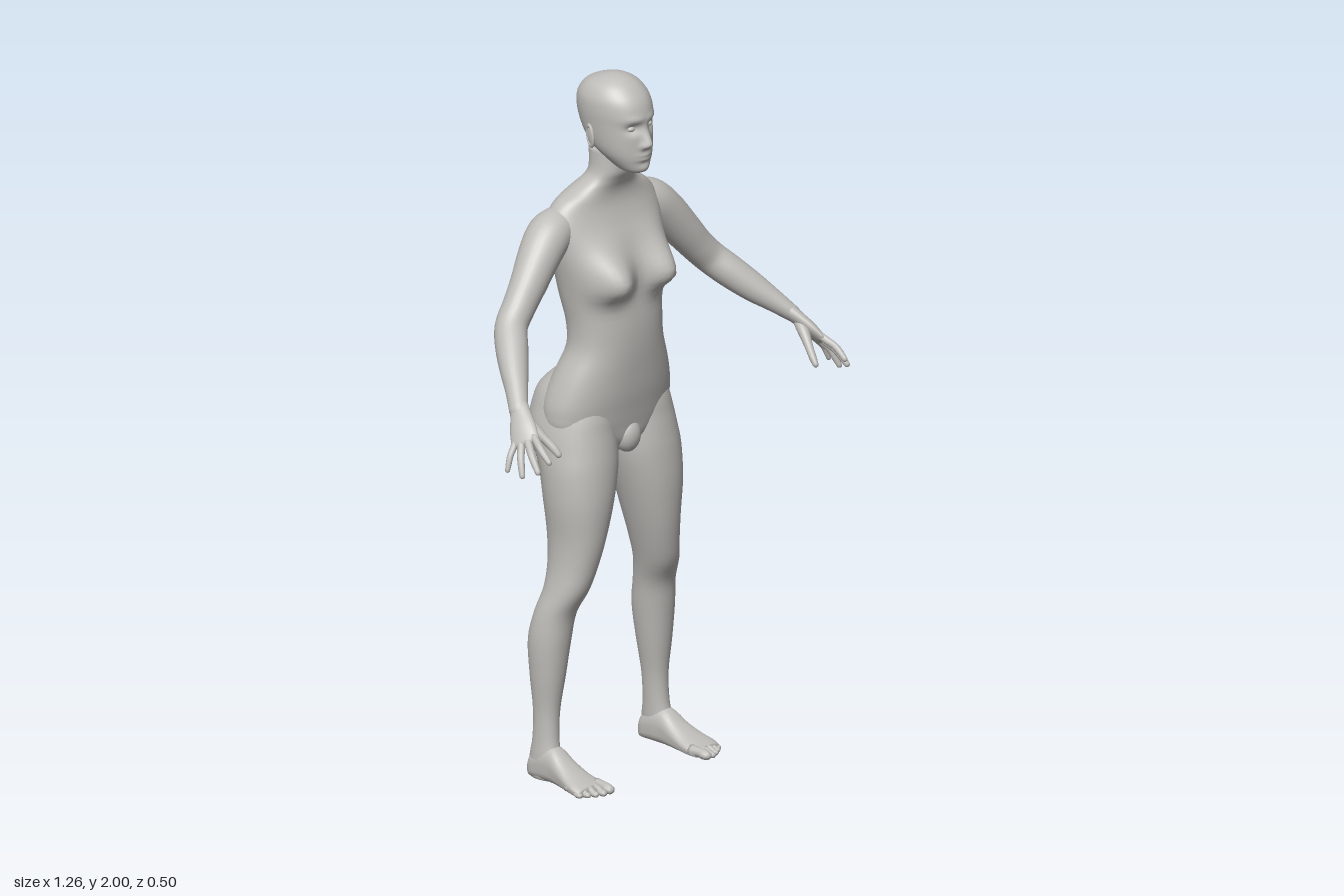
import * as THREE from 'three';

const V = (x, y, z) => new THREE.Vector3(x, y, z);
const bell = (d, s) => Math.exp(-(d / s) * (d / s));
const spow = (v, e) => Math.sign(v) * Math.pow(Math.abs(v), e);

// Smoothly subdivides a table of cross-section rows
function refine(rows, sub) {
  const out = [], n = rows.length;
  for (let i = 0; i < n - 1; i++) {
    const [a, b, c, d] = [rows[Math.max(i - 1, 0)], rows[i], rows[i + 1], rows[Math.min(i + 2, n - 1)]];
    for (let k = 0; k < sub; k++) {
      const t = k / sub;
      out.push(b.map((_, j) => 0.5 * (2 * b[j] + (c[j] - a[j]) * t + (2 * a[j] - 5 * b[j] + 4 * c[j] - d[j]) * t * t
        + (3 * b[j] - a[j] - 3 * c[j] + d[j]) * t * t * t)));
    }
  }
  out.push(rows[n - 1]);
  return out;
}

// Skins closed rings of points, caps both ends and makes the faces point outward
function skin(rings) {
  const m = rings[0].length, n = rings.length, pts = rings.flat(), idx = [];
  for (let i = 0; i < n - 1; i++) for (let j = 0; j < m; j++) {
    const a = i * m + j, b = i * m + (j + 1) % m;
    idx.push(a, b, a + m, b, b + m, a + m);
  }
  for (const [r, last] of [[0, false], [n - 1, true]]) {
    const c = V(0, 0, 0);
    rings[r].forEach(p => c.addScaledVector(p, 1 / m));
    pts.push(c);
    for (let j = 0; j < m; j++) {
      const a = r * m + j, b = r * m + (j + 1) % m;
      last ? idx.push(a, b, pts.length - 1) : idx.push(b, a, pts.length - 1);
    }
  }
  let volume = 0;
  for (let i = 0; i < idx.length; i += 3) {
    volume += pts[idx[i]].dot(V(0, 0, 0).crossVectors(pts[idx[i + 1]], pts[idx[i + 2]]));
  }
  const g = new THREE.BufferGeometry().setFromPoints(pts);
  g.setIndex(volume < 0 ? idx.reverse() : idx);
  g.computeVertexNormals();
  return g;
}

// Upright loft from rows of [y, xMin, xMax, zFront, zBack]; shape() may push points about
function upright(rows, sub, m, e, shape = () => {}) {
  return skin(refine(rows, sub).map(([y, x0, x1, zf, zb]) => Array.from({ length: m }, (_, j) => {
    const a = (j / m) * Math.PI * 2, c = spow(Math.cos(a), e), s = spow(Math.sin(a), e);
    const p = V((x0 + x1) / 2 + (x1 - x0) / 2 * c, y, (zf + zb) / 2 + (zf - zb) / 2 * s);
    shape(p, s);
    return p;
  })));
}

// Tapered limb from rows of [x, y, z, width, thickness], with a rounded tip
function limb(rows, m, sub, ref) {
  const r = refine(rows, sub), last = r[r.length - 1], prev = r[r.length - 2];
  const end = V(...last.slice(0, 3)), dir = end.clone().sub(V(...prev.slice(0, 3))).normalize();
  for (const [d, k] of [[0.45, 0.88], [0.8, 0.58], [0.97, 0.2]]) {
    const p = end.clone().addScaledVector(dir, d * last[4]);
    r.push([p.x, p.y, p.z, last[3] * k, last[4] * k]);
  }
  const at = i => V(...r[Math.min(Math.max(i, 0), r.length - 1)].slice(0, 3));
  return skin(r.map((q, i) => {
    const t = at(i + 1).sub(at(i - 1)).normalize();
    const a = ref.clone().cross(t).normalize(), b = t.clone().cross(a);
    return Array.from({ length: m }, (_, j) => {
      const w = (j / m) * Math.PI * 2;
      return at(i).addScaledVector(a, q[3] * Math.cos(w)).addScaledVector(b, q[4] * Math.sin(w));
    });
  }));
}

const blob = (x, y, z, rx, ry, rz) => new THREE.SphereGeometry(1, 20, 14).scale(rx, ry, rz).translate(x, y, z);
const sym = rows => rows.map(([y, w, f, b]) => [y, -w, w, f, b]);

export function createModel() {
  const model = new THREE.Group();
  const grey = new THREE.MeshStandardMaterial({ color: 0xbfbdb9 });
  grey.name = 'warm grey';

  const add = (name, geo) => {
    const mesh = new THREE.Mesh(geo, grey);
    mesh.name = name;
    model.add(mesh);
  };
  const pair = (name, geo) => {
    add('left' + name, geo);
    const g = geo.clone().scale(-1, 1, 1);
    g.setIndex(Array.from(geo.index.array).reverse());
    add('right' + name, g);
  };

  // Torso and neck, with bust, spine groove and cleft
  add('torso', upright(sym([
    [0.915, 0.03, -0.05, -0.10], [0.95, 0.10, -0.012, -0.17], [1.0, 0.20, -0.002, -0.205],
    [1.05, 0.213, 0.006, -0.218], [1.10, 0.204, 0.014, -0.215], [1.16, 0.182, 0.02, -0.195],
    [1.23, 0.153, 0.025, -0.172], [1.30, 0.15, 0.025, -0.177], [1.38, 0.162, 0.018, -0.197],
    [1.46, 0.177, 0.012, -0.208], [1.53, 0.19, -0.012, -0.212], [1.58, 0.197, -0.035, -0.21],
    [1.62, 0.185, -0.05, -0.202], [1.65, 0.158, -0.055, -0.19], [1.675, 0.115, -0.052, -0.175],
    [1.70, 0.08, -0.042, -0.155], [1.73, 0.064, -0.03, -0.142], [1.79, 0.061, -0.03, -0.145],
  ]), 4, 64, 0.9, (p, s) => {
    const x = Math.abs(p.x), dy = p.y - 1.425;
    if (s > 0) p.z += 0.064 * Math.min(1, s * 2) * bell(x - 0.095, 0.058) * bell(dy, dy < 0 ? 0.042 : 0.085);
    else p.z += 0.014 * bell(x, 0.03) * bell(p.y - 1.42, 0.2) + 0.03 * bell(x, 0.02) * bell(p.y - 1.02, 0.07);
  }));
  add('pubis', blob(0, 0.965, -0.025, 0.04, 0.05, 0.035));

  // Head with eye sockets, nose and mouth relief
  add('head', upright(sym([
    [1.735, 0.022, 0.028, -0.03], [1.745, 0.038, 0.04, -0.055], [1.775, 0.06, 0.044, -0.10],
    [1.80, 0.072, 0.045, -0.135], [1.83, 0.079, 0.045, -0.16], [1.87, 0.084, 0.044, -0.18],
    [1.91, 0.087, 0.042, -0.188], [1.945, 0.083, 0.028, -0.182], [1.975, 0.065, 0.0, -0.156],
    [1.993, 0.036, -0.032, -0.112], [2.0, 0.006, -0.062, -0.078],
  ]), 6, 80, 0.95, (p, s) => {
    if (s < 0) return;
    const x = Math.abs(p.x), y = p.y, f = Math.min(1, s * 2);
    p.z += f * (0.024 * bell(x, 0.013) * bell(y - 1.822, y < 1.822 ? 0.011 : 0.032)
      + 0.008 * bell(x - 0.014, 0.008) * bell(y - 1.817, 0.01)
      - 0.013 * bell(x - 0.034, 0.019) * bell(y - 1.868, 0.014)
      + 0.005 * bell(x - 0.03, 0.03) * bell(y - 1.893, 0.01)
      + 0.008 * bell(x, 0.026) * bell(y - 1.785, 0.016)
      - 0.004 * bell(x, 0.024) * bell(y - 1.785, 0.003)
      - 0.004 * bell(x, 0.022) * bell(y - 1.768, 0.006)
      + 0.005 * bell(x, 0.02) * bell(y - 1.75, 0.012));
  }));
  pair('Eye', blob(0.033, 1.867, 0.021, 0.013, 0.008, 0.01));

  // Ears: a rim around a shallow bowl
  const place = g => g.rotateY(Math.PI / 2 + 0.3).rotateX(-0.15).translate(0.09, 1.838, -0.078);
  pair('EarRim', place(new THREE.TorusGeometry(0.02, 0.005, 8, 24).scale(0.75, 1.4, 1)));
  pair('EarBowl', place(new THREE.SphereGeometry(1, 16, 10).scale(0.014, 0.026, 0.005)));

  // Legs; their tops form the buttocks
  pair('Leg', upright([
    [1.17, 0.05, 0.14, -0.08, -0.165], [1.11, 0.02, 0.185, -0.03, -0.228], [1.05, 0.004, 0.207, -0.008, -0.25],
    [1.00, 0.003, 0.22, 0.0, -0.25], [0.95, 0.005, 0.226, 0.008, -0.23], [0.89, 0.015, 0.23, 0.015, -0.197],
    [0.80, 0.04, 0.228, 0.018, -0.177], [0.70, 0.07, 0.218, 0.01, -0.162], [0.62, 0.095, 0.22, -0.003, -0.152],
    [0.55, 0.117, 0.232, -0.02, -0.152], [0.48, 0.135, 0.25, -0.053, -0.168], [0.40, 0.145, 0.259, -0.064, -0.183],
    [0.30, 0.16, 0.254, -0.075, -0.176], [0.20, 0.177, 0.245, -0.087, -0.165], [0.12, 0.183, 0.246, -0.085, -0.165],
    [0.07, 0.185, 0.25, -0.075, -0.173], [0.03, 0.19, 0.25, -0.075, -0.178], [0.004, 0.195, 0.245, -0.08, -0.172],
  ], 4, 36, 0.95));

  // Feet: rows of [z, centre x, half width, height]
  const foot = [
    [-0.18, 0.216, 0.015, 0.045], [-0.16, 0.216, 0.032, 0.075], [-0.12, 0.216, 0.036, 0.1],
    [-0.08, 0.217, 0.037, 0.1], [-0.04, 0.219, 0.042, 0.073], [0, 0.222, 0.049, 0.05],
    [0.035, 0.224, 0.054, 0.036], [0.06, 0.223, 0.05, 0.025],
  ];
  pair('Foot', skin(refine(foot, 4).map(([z, cx, w, h]) => Array.from({ length: 28 }, (_, j) => {
    const a = (j / 28) * Math.PI * 2, s = Math.sin(a);
    return V(cx + w * spow(Math.cos(a), 0.85), h / 2 + h / 2 * spow(s, s < 0 ? 0.5 : 1), z);
  }))));
  [[0.187, 0.092, 0.016], [0.21, 0.092, 0.011], [0.231, 0.083, 0.0105], [0.25, 0.071, 0.01], [0.267, 0.057, 0.01]]
    .forEach(([x, tip, r], i) => pair('Toe' + (i + 1), limb([
      [x - 0.002, 0.018, tip - 0.055, r, r], [x, 0.018, tip - 0.025, r * 0.85, r * 0.85],
      [x + 0.002, r, tip - 0.01, r, r * 0.9], [x + 0.002, r * 0.9, tip, r * 0.9, r * 0.8],
    ], 12, 3, V(0, 1, 0))));

  // Arms
  pair('Arm', limb([
    [0.13, 1.59, -0.135, 0.05, 0.05], [0.19, 1.567, -0.132, 0.063, 0.062], [0.24, 1.525, -0.122, 0.06, 0.06],
    [0.30, 1.457, -0.108, 0.051, 0.053], [0.345, 1.405, -0.1, 0.046, 0.048], [0.388, 1.36, -0.088, 0.045, 0.046],
    [0.425, 1.319, -0.05, 0.045, 0.045], [0.465, 1.275, -0.002, 0.039, 0.04], [0.503, 1.235, 0.045, 0.031, 0.03],
    [0.535, 1.2, 0.083, 0.027, 0.022],
  ], 28, 4, V(0.79, 0.57, 0.15)));

  // Hands: palm, four fingers and a thumb
  const back = V(0.79, 0.57, 0.15);
  pair('Palm', limb([
    [0.525, 1.212, 0.072, 0.026, 0.022], [0.54, 1.19, 0.096, 0.031, 0.019],
    [0.558, 1.162, 0.122, 0.039, 0.018], [0.574, 1.134, 0.146, 0.042, 0.013],
  ], 24, 4, back));
  const finger = (name, a, b, r) => {
    const A = V(...a), B = V(...b), row = (t, k, lift) => {
      const p = A.clone().lerp(B, t).addScaledVector(back, lift);
      return [p.x, p.y, p.z, r * k, r * k];
    };
    pair(name, limb([row(-0.2, 1, 0), row(0.1, 1.05, 0.003), row(0.4, 0.98, 0.007),
      row(0.7, 0.9, 0.004), row(0.94, 0.75, 0)], 12, 4, back));
  };
  finger('IndexFinger', [0.562, 1.142, 0.176], [0.577, 1.095, 0.243], 0.0105);
  finger('MiddleFinger', [0.573, 1.133, 0.158], [0.604, 1.068, 0.226], 0.011);
  finger('RingFinger', [0.581, 1.126, 0.139], [0.62, 1.05, 0.18], 0.0105);
  finger('LittleFinger', [0.589, 1.12, 0.12], [0.628, 1.058, 0.13], 0.009);
  pair('Thumb', limb([
    [0.54, 1.185, 0.098, 0.016, 0.016], [0.529, 1.16, 0.13, 0.018, 0.016], [0.515, 1.132, 0.162, 0.0125, 0.012],
    [0.505, 1.108, 0.187, 0.012, 0.0105], [0.501, 1.092, 0.202, 0.009, 0.008],
  ], 14, 4, back));

  return model;
}
